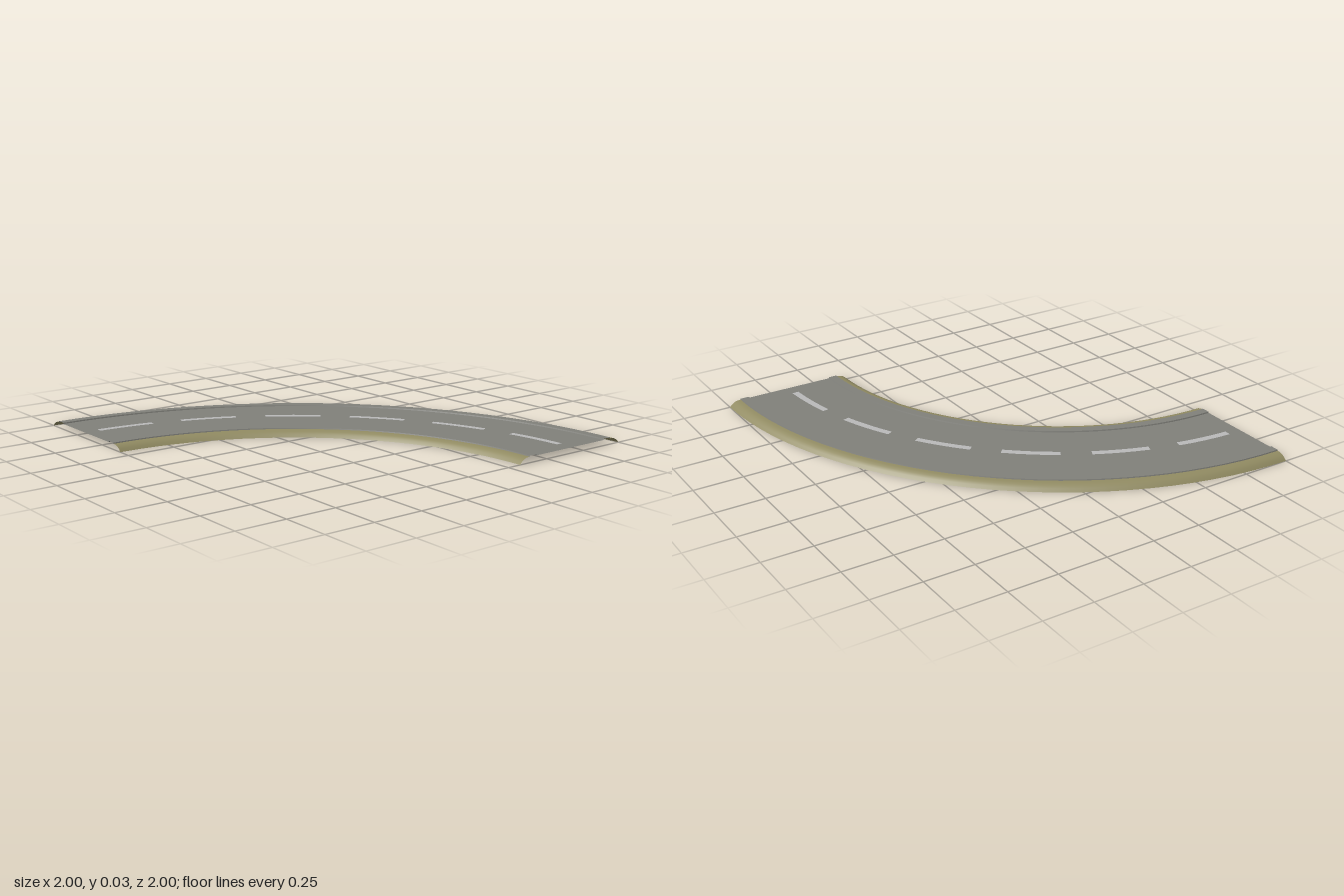
import * as THREE from 'three';
import { toCreasedNormals } from 'three/addons/utils/BufferGeometryUtils.js';

const DEG = Math.PI / 180;
const SEGMENTS = 30;

const mat = (name, color) => {
  const m = new THREE.MeshStandardMaterial({ color, side: THREE.DoubleSide });
  m.name = name;
  return m;
};

// Sweep a profile of [radius, height] points, listed outer to inner, round the bend.
// Angles run from 0 (the left-hand end) to 90 degrees (the front end).
function sweep(name, profile, material, from = 0, to = 90, segments = SEGMENTS) {
  const points = profile.map(([r, y]) => new THREE.Vector2(r, y));
  const lathe = new THREE.LatheGeometry(points, segments, (180 - to) * DEG, (to - from) * DEG);
  const mesh = new THREE.Mesh(toCreasedNormals(lathe, 35 * DEG), material);
  mesh.name = name;
  return mesh;
}

export function createModel() {
  const asphalt = mat('asphalt grey', 0x80807a);
  const earth = mat('olive verge', 0x918b62);
  const paint = mat('road paint', 0xb9b9b9);

  const road = new THREE.Group();
  road.name = 'curvedRoad';
  const bend = new THREE.Group();
  bend.name = 'bend';
  bend.position.set(-1, 0, 1); // centre of the quarter turn
  road.add(bend);

  // Rounded verges falling to the ground, open underneath
  bend.add(sweep('outerVerge',
    [[2, 0], [1.988, 0.013], [1.973, 0.023], [1.956, 0.028], [1.94, 0.029]], earth));
  bend.add(sweep('innerVerge',
    [[1.385, 0.029], [1.369, 0.028], [1.352, 0.023], [1.337, 0.013], [1.325, 0]], earth));

  // Slightly raised kerbs either side of the carriageway
  const kerb = (outer, inner) => [
    [outer, 0.028], [outer - 0.002, 0.034], [inner + 0.002, 0.034], [inner, 0.028],
  ];
  bend.add(sweep('outerKerb', kerb(1.94, 1.892), asphalt));
  bend.add(sweep('innerKerb', kerb(1.432, 1.385), asphalt));

  // Carriageway
  bend.add(sweep('carriageway', [[1.892, 0.028], [1.432, 0.028]], asphalt));

  // Dashed centre line
  for (let i = 0; i < 6; i++) {
    const start = i * 15 + 2.6;
    bend.add(sweep('centreDash', [[1.682, 0.0305], [1.648, 0.0305]], paint, start, start + 9.8, 4));
  }
  return road;
}
